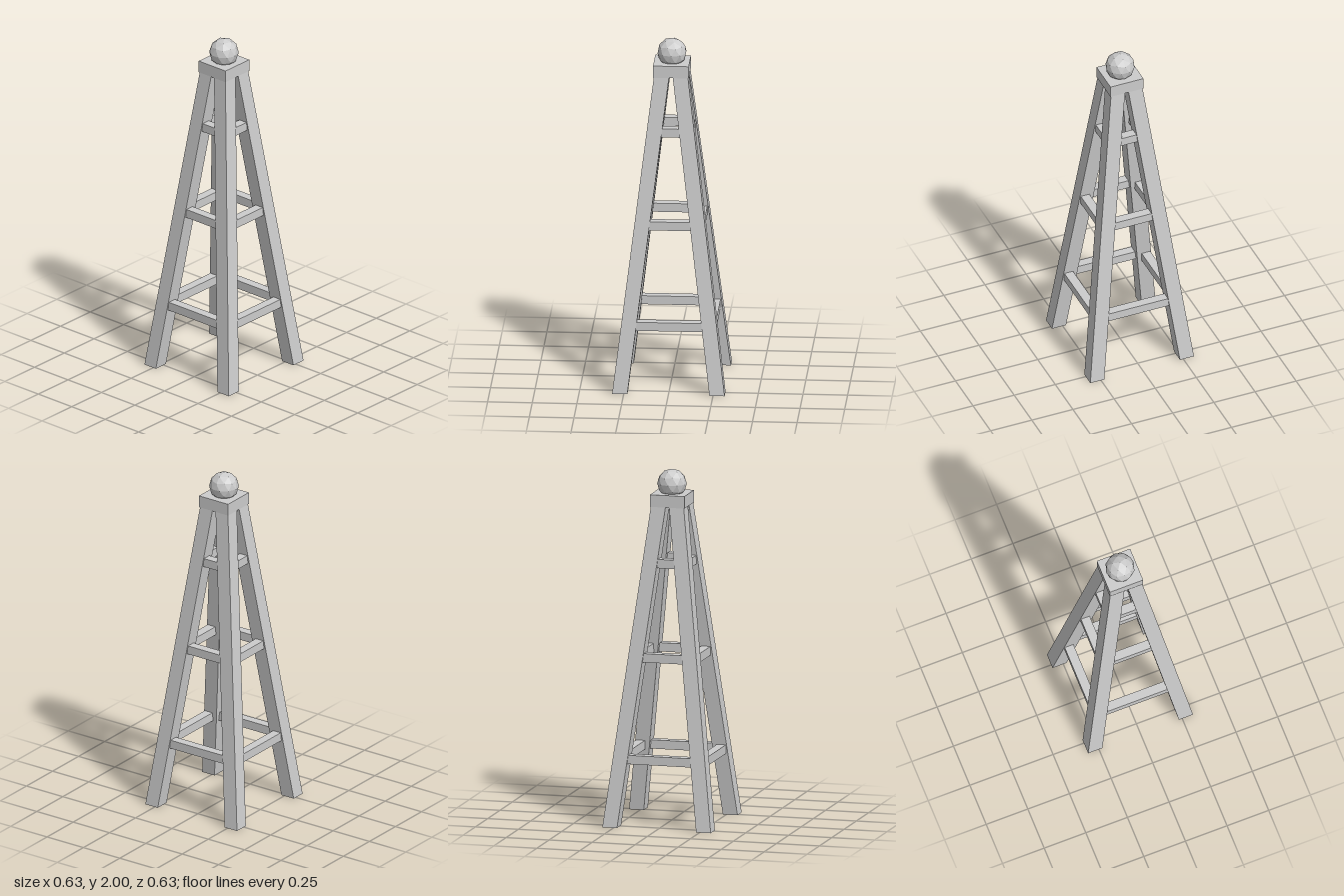
import * as THREE from 'three';

const LEG_WIDTH = 0.085, LEG_TOP = 1.82;

// Distance of a leg's centre line from the axis at height y
const legOffset = (y) => 0.2725 - 0.122 * y;

// Square post with level ends, leaning towards the axis
function legGeometry(sx, sz) {
  const geo = new THREE.BoxGeometry(LEG_WIDTH, LEG_TOP, LEG_WIDTH).translate(0, LEG_TOP / 2, 0);
  const pos = geo.attributes.position;
  for (let i = 0; i < pos.count; i++) {
    const d = legOffset(pos.getY(i));
    pos.setX(i, pos.getX(i) + sx * d);
    pos.setZ(i, pos.getZ(i) + sz * d);
  }
  geo.computeVertexNormals();
  return geo;
}

export function createModel() {
  const model = new THREE.Group();
  model.name = 'tower';
  const grey = new THREE.MeshStandardMaterial({ color: 0xcccccc, flatShading: true });
  grey.name = 'grey';

  const add = (name, geo, parent = model) => {
    const mesh = new THREE.Mesh(geo, grey);
    mesh.name = name;
    parent.add(mesh);
    return mesh;
  };

  // Four leaning legs
  for (const [sx, side] of [[1, 'Left'], [-1, 'Right']]) {
    for (const [sz, end] of [[1, 'front'], [-1, 'back']]) {
      add(`${end}${side}Leg`, legGeometry(sx, sz));
    }
  }

  // Three square rings of cross bars: [height, distance from axis]
  const rings = [[0.382, 0.235], [0.952, 0.165], [1.48, 0.101]];
  rings.forEach(([y, d], level) => {
    const ring = new THREE.Group();
    ring.name = `barRing${level + 1}`;
    const length = 2 * legOffset(y);
    for (let i = 0; i < 4; i++) {
      const bar = new THREE.BoxGeometry(length, 0.05, 0.052).translate(0, y, d);
      add('crossBar', bar.rotateY(i * Math.PI / 2), ring);
    }
    model.add(ring);
  });

  // Square cap
  add('cap', new THREE.BoxGeometry(0.2, 0.069, 0.2).translate(0, 1.831, 0));

  // Faceted ball, turned so that a corner points up
  const ball = new THREE.IcosahedronGeometry(0.083, 1);
  ball.rotateX(Math.atan((1 + Math.sqrt(5)) / 2)).translate(0, 1.917, 0);
  add('ball', ball);

  return model;
}
